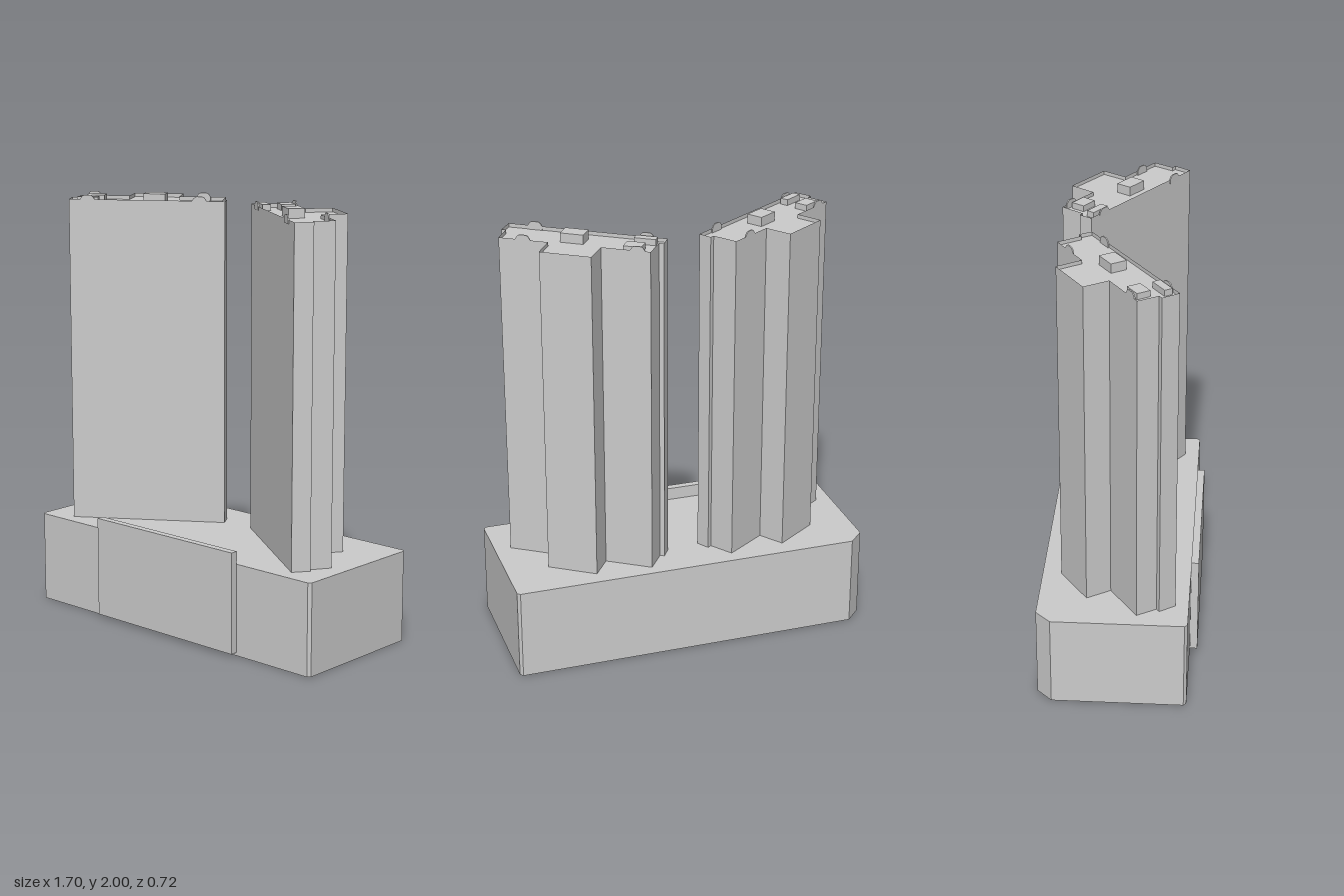
import * as THREE from 'three';

const WALL_TOP = 1.975, DECK = 1.957, BASE_TOP = 0.43;
const grey = new THREE.MeshStandardMaterial({ color: 0xcccccc, flatShading: true });
const thin = new THREE.MeshStandardMaterial({ color: 0xcccccc, flatShading: true, side: THREE.DoubleSide });

// Tower outline seen from above, as [x, z]
const footprint = [
  [-0.078, -0.151], [-0.112, -0.205], [-0.13, -0.193], [-0.199, -0.292],
  [-0.386, -0.169], [-0.459, -0.274], [-0.655, -0.142], [-0.587, -0.037],
  [-0.779, 0.091], [-0.724, 0.178], [-0.742, 0.191], [-0.692, 0.262],
];

function add(parent, name, geometry, material = grey) {
  const mesh = new THREE.Mesh(geometry, material);
  mesh.name = name;
  parent.add(mesh);
  return mesh;
}

// Shape from [x, z] points; rotating it by -90 degrees about x lays it flat
function planShape(points) {
  return new THREE.Shape(points.map(([x, z]) => new THREE.Vector2(x, -z)));
}

// Upright sheet following a closed outline
function wallGeometry(points, y0, y1) {
  const pos = [];
  points.forEach(([ax, az], i) => {
    const [bx, bz] = points[(i + 1) % points.length];
    pos.push(ax, y0, az, bx, y1, bz, bx, y0, bz);
    pos.push(ax, y0, az, ax, y1, az, bx, y1, bz);
  });
  const g = new THREE.BufferGeometry();
  g.setAttribute('position', new THREE.Float32BufferAttribute(pos, 3));
  g.computeVertexNormals();
  return g;
}

// Low arched panel that rises above the parapet
function archGeometry() {
  const s = new THREE.Shape();
  s.moveTo(-0.034, -0.018);
  s.lineTo(-0.034, 0);
  s.quadraticCurveTo(-0.024, 0.02, -0.012, 0.02);
  s.lineTo(0.012, 0.02);
  s.quadraticCurveTo(0.024, 0.02, 0.034, 0);
  s.lineTo(0.034, -0.018);
  const g = new THREE.ExtrudeGeometry(s, { depth: 0.006, bevelEnabled: false, curveSegments: 5 });
  return g.translate(0, 0, -0.003);
}

function tower(name, points, angle, roofBoxes, arches) {
  const group = new THREE.Group();
  group.name = name;
  add(group, name + 'Walls', wallGeometry(points, BASE_TOP, WALL_TOP), thin);

  // Roof deck sunk below the parapet
  const deck = new THREE.ShapeGeometry(planShape(points)).rotateX(-Math.PI / 2);
  add(group, name + 'RoofDeck', deck, thin).position.y = DECK;

  // Plant rooms: [x, z, length, depth, top]
  for (const [x, z, w, d, top] of roofBoxes) {
    const box = add(group, name + 'PlantRoom', new THREE.BoxGeometry(w, top - DECK, d));
    box.position.set(x, (top + DECK) / 2, z);
    box.rotation.y = angle;
  }

  // Arched panels on the long sides
  for (const [x, z] of arches) {
    const arch = add(group, name + 'ParapetArch', archGeometry());
    arch.position.set(x, WALL_TOP, z);
    arch.rotation.y = angle;
  }
  return group;
}

export function createModel() {
  const model = new THREE.Group();
  model.name = 'twinTowers';

  // Podium with one large and three small cut corners
  const c = 0.013, big = 0.07;
  const x0 = -0.853, x1 = 0.85, z0 = -0.36, z1 = 0.322;
  const outline = [
    [x0 + big, z0], [x0, z0 + big], [x0, z1 - c], [x0 + c, z1],
    [x1 - c, z1], [x1, z1 - c], [x1, z0 + c], [x1 - c, z0],
  ];
  const podium = new THREE.ExtrudeGeometry(planShape(outline), { depth: BASE_TOP, bevelEnabled: false });
  add(model, 'podium', podium.rotateX(-Math.PI / 2));

  // Tall panel standing against the podium front
  const panel = add(model, 'frontPanel', new THREE.BoxGeometry(0.853, 0.475, 0.035));
  panel.position.set(-0.0015, 0.2525, 0.34);

  // Tower on the -x side
  model.add(tower('rightTower', footprint, 0.59,
    [[-0.411, -0.035, 0.103, 0.077, 2], [-0.678, 0.091, 0.083, 0.064, 1.985], [-0.638, 0.187, 0.1, 0.038, 1.985]],
    [[-0.285, -0.23], [-0.18, -0.087], [-0.724, 0.061], [-0.622, 0.209]]));

  // Tower on the +x side: mirrored outline, turned very slightly
  const turn = 0.009;
  const mirrored = footprint.map(([x, z]) => [-x - turn * z - 0.005, z - turn * x - 0.016]).reverse();
  model.add(tower('leftTower', mirrored, -0.598,
    [[0.455, -0.014, 0.106, 0.075, 2], [0.242, -0.215, 0.082, 0.066, 1.985], [0.167, -0.146, 0.1, 0.038, 1.985]],
    [[0.244, -0.272], [0.153, -0.114], [0.678, 0.025], [0.582, 0.182]]));

  return model;
}
